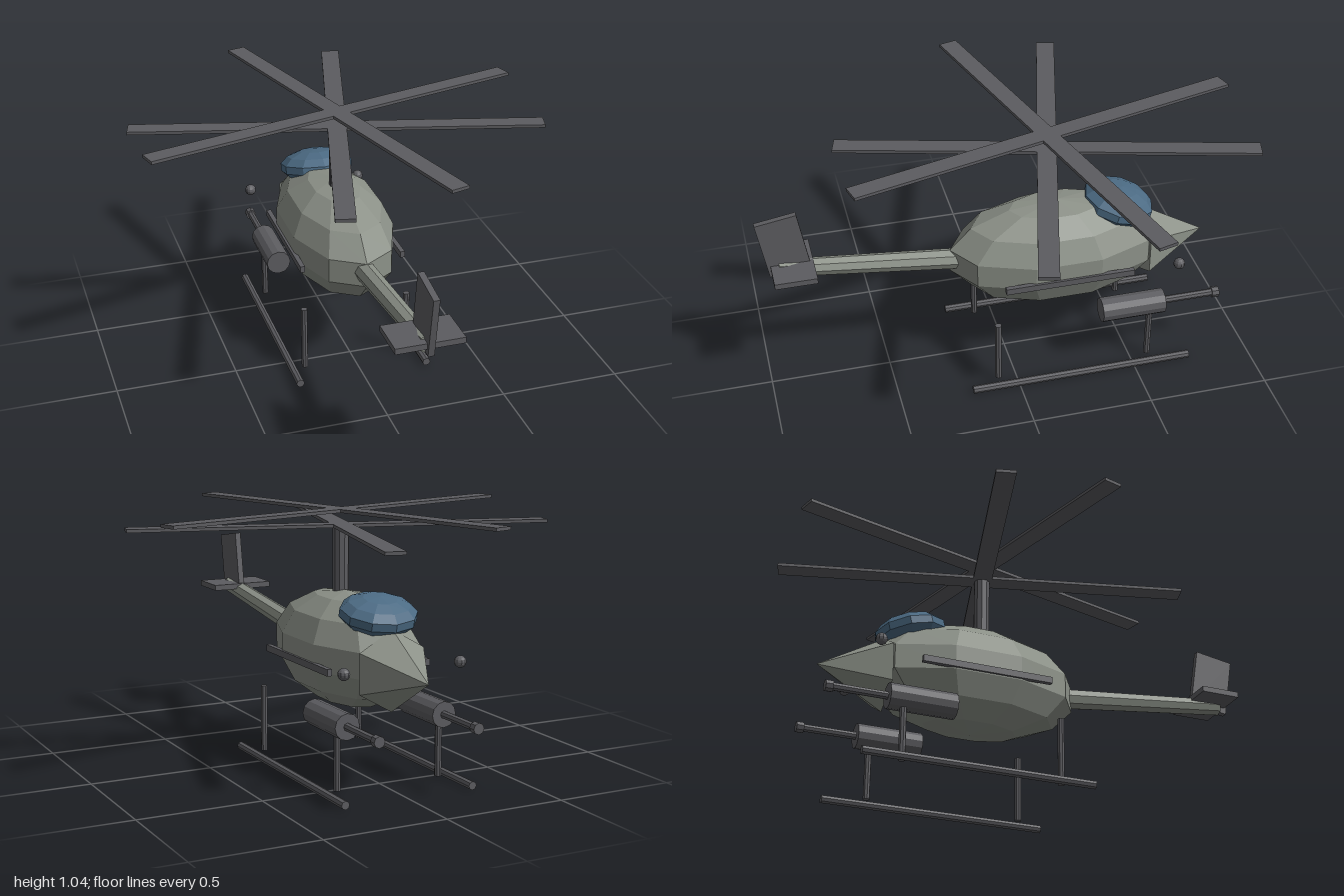
import * as THREE from 'three';

export function createModel() {
  const group = new THREE.Group();
  const paint = (color) => new THREE.MeshStandardMaterial({ color, flatShading: true });
  const hull = paint(0x8c9188), dark = paint(0x5c5c60), glass = paint(0x4c6b84);

  function add(name, geometry, material, x, y, z) {
    const mesh = new THREE.Mesh(geometry, material);
    mesh.name = name;
    mesh.position.set(x, y, z);
    group.add(mesh);
    return mesh;
  }
  // Cylinder running along z
  const rodZ = (radius, length, sides) =>
    new THREE.CylinderGeometry(radius, radius, length, sides).rotateX(Math.PI / 2);
  // Faceted ellipsoid with a corner on the z axis
  const ellipsoid = (rx, ry, rz) =>
    new THREE.SphereGeometry(1, 10, 7).rotateY(Math.PI / 2).scale(rx, ry, rz);

  // Fuselage, nose cone and tilted canopy
  add('fuselage', ellipsoid(0.232, 0.229, 0.46), hull, 0, 0.493, -0.22);
  const nose = new THREE.ConeGeometry(0.16, 0.27, 6).rotateX(-Math.PI / 2);
  add('nose', nose, hull, 0, 0.465, -0.725);
  const canopy = add('canopy', ellipsoid(0.158, 0.072, 0.15), glass, 0, 0.667, -0.483);
  canopy.rotation.x = -0.24;

  // Tail boom, swept fin and tailplane
  const boom = add('tailBoom', new THREE.CylinderGeometry(0.036, 0.043, 0.73, 8), hull, 0, 0.541, 0.56);
  boom.rotation.x = Math.PI / 2 - 0.117;
  const fin = add('tailFin', new THREE.BoxGeometry(0.025, 0.255, 0.168), dark, 0, 0.692, 0.896);
  fin.rotation.x = 0.16;
  add('tailplane', new THREE.BoxGeometry(0.27, 0.024, 0.17), dark, 0, 0.593, 0.868);

  // Mast with two stacked rotors, each a pair of crossed blades
  add('mast', new THREE.CylinderGeometry(0.033, 0.033, 0.28, 10), dark, 0, 0.835, -0.175);
  for (const [name, y, turn] of [['lowerRotorBlade', 0.975, -15], ['upperRotorBlade', 1.035, 15]]) {
    for (const angle of [turn, turn + 90]) {
      const blade = add(name, new THREE.BoxGeometry(1.695, 0.013, 0.078), dark, 0, y, -0.175);
      blade.rotation.y = THREE.MathUtils.degToRad(angle);
    }
  }

  // Parts mirrored on both sides
  for (const s of [-1, 1]) {
    add('skid', rodZ(0.017, 0.94, 8), dark, s * 0.275, 0.017, -0.27);
    for (const z of [0.08, -0.57]) {
      add('skidStrut', new THREE.CylinderGeometry(0.014, 0.014, 0.275, 8), dark, s * 0.222, 0.158, z);
    }
    add('gunBody', rodZ(0.052, 0.27, 12), dark, s * 0.21, 0.28, -0.495);
    add('gunBarrel', rodZ(0.016, 0.24, 8), dark, s * 0.21, 0.28, -0.74);
    add('gunMuzzle', rodZ(0.023, 0.03, 8), dark, s * 0.21, 0.28, -0.86);
    add('sideRail', new THREE.BoxGeometry(0.02, 0.027, 0.54), dark, s * 0.215, 0.46, -0.225);
    add('sensorBall', new THREE.SphereGeometry(0.024, 10, 8), dark, s * 0.25, 0.493, -0.675);
  }
  return group;
}
